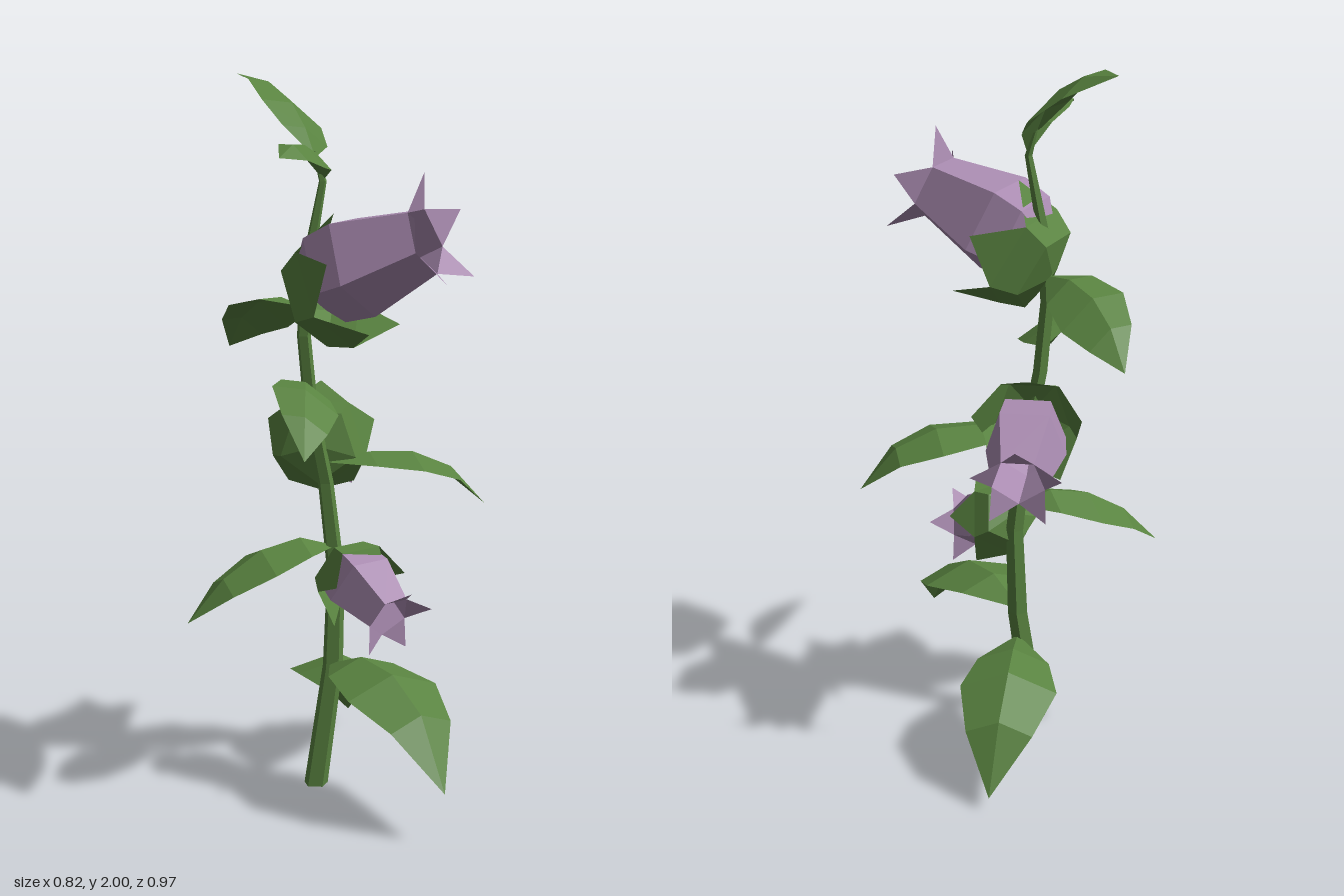
import * as THREE from 'three';

const V = (p) => new THREE.Vector3(...p);
const green = new THREE.MeshStandardMaterial({ color: 0x598340, side: THREE.DoubleSide });
green.name = 'leafGreen';
const lilac = new THREE.MeshStandardMaterial({ color: 0xa98bb0, side: THREE.DoubleSide });
lilac.name = 'petalLilac';
const SIDES = 5;

// Flat-shaded mesh from a list of triangle corners
function facets(name, pts, material) {
  const g = new THREE.BufferGeometry().setFromPoints(pts);
  g.computeVertexNormals();
  const m = new THREE.Mesh(g, material);
  m.name = name;
  return m;
}

// Joins neighbouring loops or rows of points with triangles
function skin(rows, closed) {
  const out = [];
  for (let i = 0; i < rows.length - 1; i++) {
    const a = rows[i], b = rows[i + 1], n = a.length;
    for (let j = 0; j < (closed ? n : n - 1); j++) {
      const k = (j + 1) % n;
      out.push(a[j], a[k], b[k], a[j], b[k], b[j]);
    }
  }
  return out;
}

// Ring around the local y axis, with a flat side towards +z
function ring(r, y) {
  return Array.from({ length: SIDES }, (_, i) => {
    const a = ((i - 0.5) / SIDES) * Math.PI * 2;
    return new THREE.Vector3(Math.sin(a) * r, y, Math.cos(a) * r);
  });
}

// Pointed flaps, one on each side of a ring
function points(base, r, y) {
  const out = [];
  base.forEach((p, i) => {
    const a = (i / SIDES) * Math.PI * 2;
    out.push(p, base[(i + 1) % SIDES], new THREE.Vector3(Math.sin(a) * r, y, Math.cos(a) * r));
  });
  return out;
}

// Arched leaf with a raised midrib; roll tips one edge up
function leaf(name, path, halfWidth, droop, roll = 0) {
  const curve = new THREE.CatmullRomCurve3(path.map(V));
  const dir = V(path[path.length - 1]).sub(V(path[0])).setY(0).normalize();
  const side = new THREE.Vector3(-dir.z, roll, dir.x);
  const widths = [0.07, 0.75, 1, 0.68, 0];
  const rows = widths.map((w, i) => {
    const c = curve.getPoint(i / (widths.length - 1));
    const edge = (s) => c.clone().addScaledVector(side, s * w * halfWidth)
      .add(new THREE.Vector3(0, -droop * w, 0));
    return [edge(1), c, edge(-1)];
  });
  return facets(name, skin(rows, false), green);
}

// Group whose y axis runs from one point towards another
function aimed(name, from, to) {
  const g = new THREE.Group();
  g.name = name;
  const d = V(to).sub(V(from)).normalize();
  const up = new THREE.Vector3(0, 1, 0).addScaledVector(d, -d.y).normalize();
  const right = d.clone().cross(up);
  g.quaternion.setFromRotationMatrix(new THREE.Matrix4().makeBasis(right, d, up));
  g.position.copy(V(from));
  return g;
}

// Bell with flared tips, pointing from start to mouth
function bell(name, start, mouth, s) {
  const g = aimed(name, start, mouth);
  const len = V(mouth).distanceTo(V(start));
  const rim = ring(0.076 * s, len);
  const rows = [ring(0.07 * s, 0.015 * s), ring(0.108 * s, 0.05 * s), ring(0.118 * s, len * 0.42), rim];
  g.add(facets('bellBody', skin(rows, true), lilac));
  g.add(facets('petalTips', points(rim, 0.13 * s, len + 0.045 * s), lilac));
  return g;
}

// Green cup with sepals that holds a bell
function calyx(name, start, aim, s) {
  const g = aimed(name, start, aim);
  const lip = ring(0.138 * s, 0.06 * s);
  const rows = [ring(0.015 * s, -0.025 * s), ring(0.11 * s, 0), lip];
  g.add(facets('cup', skin(rows, true), green));
  g.add(facets('sepals', points(lip, 0.16 * s, 0.15 * s), green));
  return g;
}

// Tapering bent stem, capped at the foot
function stem() {
  const rows = [
    [-0.068, 0, 0.055, 0.035], [-0.02, 0.35, 0.04, 0.03], [-0.012, 0.62, 0.03, 0.026],
    [-0.04, 0.88, 0.035, 0.023], [-0.08, 1.1, 0.06, 0.021], [-0.097, 1.3, 0.075, 0.02],
    [-0.085, 1.5, 0.07, 0.018], [-0.045, 1.72, 0.06, 0.011], [-0.068, 1.8, 0.055, 0.004],
  ].map(([x, y, z, r]) => ring(r, y).map((p) => p.add(new THREE.Vector3(x, 0, z))));
  const foot = rows[0];
  const cap = [];
  for (let i = 1; i < SIDES - 1; i++) cap.push(foot[0], foot[i + 1], foot[i]);
  return facets('stem', [...skin(rows, true), ...cap], green);
}

export function createModel() {
  const model = new THREE.Group();
  model.name = 'bellflower';
  model.add(stem());

  // Leaves from the ground up: midrib points, half width, fold depth, roll
  model.add(
    leaf('lowBackLeaf', [[-0.02, 0.27, 0.03], [-0.025, 0.31, -0.12], [-0.025, 0.3, -0.24], [-0.015, 0.22, -0.38], [0, 0.04, -0.485]], 0.138, 0.055),
    leaf('lowFrontLeaf', [[-0.02, 0.36, 0.05], [0.065, 0.41, 0.15], [0.155, 0.395, 0.26], [0.235, 0.32, 0.375], [0.3, 0.14, 0.485]], 0.145, 0.05),
    leaf('rightLeaf', [[-0.02, 0.7, 0.03], [-0.11, 0.73, 0.07], [-0.215, 0.705, 0.12], [-0.315, 0.635, 0.175], [-0.41, 0.52, 0.22]], 0.122, 0.045),
    leaf('leftLeaf', [[-0.03, 0.94, 0.03], [0.08, 0.96, -0.015], [0.2, 0.955, -0.05], [0.31, 0.905, -0.085], [0.407, 0.79, -0.12]], 0.115, 0.035),
    leaf('frontLeaf', [[-0.09, 1.17, 0.08], [-0.085, 1.19, 0.18], [-0.08, 1.185, 0.27], [-0.075, 1.13, 0.37], [-0.07, 1.03, 0.465]], 0.088, 0.03, 0.45),
    leaf('backLeaf', [[-0.1, 1.38, 0.06], [-0.165, 1.395, -0.01], [-0.235, 1.37, -0.085], [-0.29, 1.315, -0.165], [-0.335, 1.22, -0.245]], 0.098, 0.04, -0.4),
    leaf('smallTopLeaf', [[-0.045, 1.73, 0.06], [-0.06, 1.8, 0.12], [-0.085, 1.825, 0.2], [-0.11, 1.83, 0.27], [-0.14, 1.8, 0.355]], 0.06, 0.03, 0.5),
    leaf('topLeaf', [[-0.068, 1.79, 0.055], [-0.095, 1.86, 0.01], [-0.135, 1.925, -0.04], [-0.205, 1.98, -0.12], [-0.3, 2, -0.19]], 0.105, 0.03, -0.4),
  );

  // Flowers and the cups that hold them
  model.add(
    bell('topBell', [-0.08, 1.45, 0.08], [0.235, 1.58, 0.21], 1.27),
    calyx('topCalyx', [-0.085, 1.39, 0.075], [0.185, 1.53, 0.175], 1.18),
    bell('middleBell', [-0.06, 0.99, 0], [-0.058, 0.915, -0.293], 1),
    calyx('middleCalyx', [-0.062, 0.985, 0.02], [-0.062, 0.975, -0.3], 1),
    bell('lowBell', [0.005, 0.655, 0.06], [0.145, 0.545, 0.21], 0.88),
    calyx('lowCalyx', [0.005, 0.65, 0.06], [0.14, 0.55, 0.205], 0.82),
  );
  return model;
}
